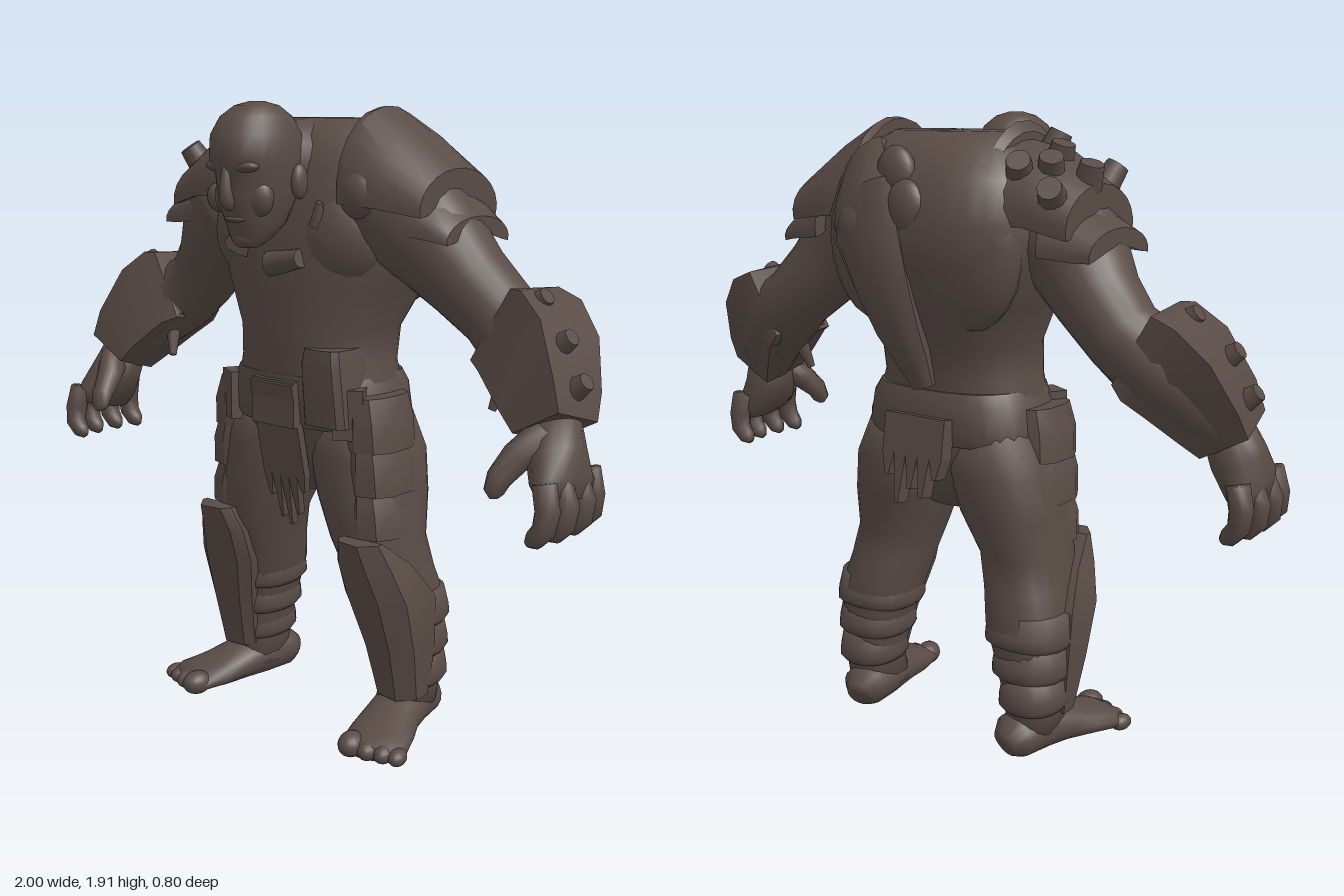
import * as THREE from 'three';
import { mergeVertices, toCreasedNormals } from 'three/addons/utils/BufferGeometryUtils.js';

const hide = new THREE.MeshStandardMaterial({ color: 0x594b45, side: THREE.DoubleSide });
hide.name = 'dark umber';
const V = (x, y, z) => new THREE.Vector3(x, y, z);

// Skin a list of closed rings, with capped ends
function loft(rings, crease) {
  const n = rings[0].length, pos = [], idx = [];
  rings.forEach(r => r.forEach(p => pos.push(p.x, p.y, p.z)));
  for (let i = 0; i < rings.length - 1; i++) for (let j = 0; j < n; j++) {
    const a = i * n + j, b = i * n + (j + 1) % n;
    idx.push(a, b, b + n, a, b + n, a + n);
  }
  [0, rings.length - 1].forEach((k, end) => {
    const c = rings[k].reduce((s, p) => s.add(p), V(0, 0, 0)).divideScalar(n);
    const m = pos.length / 3;
    pos.push(c.x, c.y, c.z);
    for (let j = 0; j < n; j++) {
      const a = k * n + j, b = k * n + (j + 1) % n;
      if (end) idx.push(m, a, b); else idx.push(m, b, a);
    }
  });
  const g = new THREE.BufferGeometry();
  g.setAttribute('position', new THREE.Float32BufferAttribute(pos, 3));
  g.setIndex(idx);
  g.computeVertexNormals();
  return crease ? toCreasedNormals(g, crease) : g;
}

// Horizontal sections, bottom to top: [y, centreX, halfWidth, zFront, zBack]
function stack(rows, n = 24, power = 0.85, crease = 0) {
  return loft(rows.map(([y, cx, w, zf, zb]) => Array.from({ length: n }, (_, j) => {
    const a = j / n * Math.PI * 2, s = Math.sin(a), c = Math.cos(a);
    const sx = Math.sign(s) * Math.abs(s) ** power, cz = Math.sign(c) * Math.abs(c) ** power;
    return V(cx + w * sx, y, (zf + zb) / 2 + (zf - zb) / 2 * cz);
  })), crease);
}

// Sections square to a path: [x, y, z, radiusAcross, radiusAlongRef]
function limb(rows, n = 16, ref = V(0, 0, 1), crease = 0) {
  const p = rows.map(r => V(r[0], r[1], r[2]));
  return loft(rows.map((r, i) => {
    const t = p[Math.min(i + 1, p.length - 1)].clone().sub(p[Math.max(i - 1, 0)]).normalize();
    const u = t.clone().cross(ref).normalize(), v = t.clone().cross(u);
    return Array.from({ length: n }, (_, j) => {
      const a = (j + 0.5) / n * Math.PI * 2;
      return p[i].clone().addScaledVector(u, r[3] * Math.cos(a)).addScaledVector(v, r[4] * Math.sin(a));
    });
  }), crease);
}

// Arched shell running outward along x: [x, centreY, centreZ, ry, rz]
function arch(rows, thick = 0.03, n = 14) {
  return loft(rows.map(([x, y, z, ry, rz]) => {
    const arc = d => Array.from({ length: n }, (_, j) => {
      const a = (-0.04 + 1.1 * j / (n - 1)) * Math.PI;
      return V(x, y + (ry - d) * Math.sin(a), z + (rz - d) * Math.cos(a));
    });
    return [...arc(0), ...arc(thick).reverse()].reverse();
  }), 0.6);
}

function ball(x, y, z, rx, ry, rz) {
  return new THREE.SphereGeometry(1, 16, 12).scale(rx, ry, rz).translate(x, y, z);
}

// Blunt stud or spike standing on a point along a direction
function stud(at, dir, r = 0.036, h = 0.06, top = 0.7) {
  const g = new THREE.CylinderGeometry(r * top, r, h, 10);
  g.applyQuaternion(new THREE.Quaternion().setFromUnitVectors(V(0, 1, 0), V(...dir).normalize()));
  return g.translate(...at);
}

// Ragged hanging cloth in the xy plane, hung from y = 0
function cloth(halfW, length, depth, drops) {
  const s = new THREE.Shape();
  s.moveTo(-halfW, 0);
  const step = 2 * halfW / drops.length;
  drops.forEach((d, i) => {
    const x = -halfW + i * step;
    s.lineTo(x, -length);
    s.lineTo(x + step * 0.35, -length - d);
    s.lineTo(x + step * 0.65, -length - d);
  });
  s.lineTo(halfW, -length);
  s.lineTo(halfW, 0);
  return new THREE.ExtrudeGeometry(s, { depth, bevelEnabled: false });
}

function mirror(geo) {
  const g = geo.index ? geo.clone() : mergeVertices(geo);
  g.applyMatrix4(new THREE.Matrix4().makeScale(-1, 1, 1));
  const a = g.index.array;
  for (let i = 0; i < a.length; i += 3) [a[i], a[i + 1]] = [a[i + 1], a[i]];
  return g;
}

export function createModel() {
  const model = new THREE.Group();
  model.name = 'brute';
  const add = (name, geo) => {
    const m = new THREE.Mesh(geo, hide);
    m.name = name;
    model.add(m);
  };
  const pair = (name, geo) => { add(name + 'Left', geo); add(name + 'Right', mirror(geo)); };

  // Hunched torso, chest and neck
  add('torso', stack([[0.74, 0, 0.1, 0.05, -0.12], [0.84, 0, 0.2, 0.125, -0.19], [0.95, 0, 0.28, 0.15, -0.215],
    [1.05, 0, 0.28, 0.17, -0.215], [1.15, 0, 0.247, 0.18, -0.215], [1.25, 0, 0.245, 0.187, -0.24], [1.38, 0, 0.31, 0.192, -0.3],
    [1.5, 0, 0.36, 0.195, -0.345], [1.62, 0, 0.38, 0.182, -0.36], [1.74, 0, 0.34, 0.16, -0.33],
    [1.82, 0, 0.27, 0.12, -0.27], [1.865, 0, 0.19, 0.05, -0.18]], 32));
  pair('chestMuscle', ball(0.15, 1.53, 0.075, 0.17, 0.16, 0.11));
  pair('shoulderBlade', ball(0.17, 1.56, -0.215, 0.17, 0.25, 0.09));
  add('neck', limb([[0, 1.7, -0.12, 0.17, 0.17], [0, 1.72, 0.02, 0.15, 0.15], [0, 1.73, 0.12, 0.115, 0.13],
    [0, 1.73, 0.22, 0.1, 0.12]], 20, V(0, 1, 0)));

  // Head thrust forward
  add('head', stack([[1.505, 0, 0.03, 0.315, 0.26], [1.53, 0, 0.058, 0.335, 0.22], [1.57, 0, 0.08, 0.345, 0.17],
    [1.61, 0, 0.094, 0.362, 0.15], [1.66, 0, 0.107, 0.372, 0.12], [1.71, 0, 0.113, 0.375, 0.11],
    [1.755, 0, 0.118, 0.4, 0.11], [1.82, 0, 0.113, 0.397, 0.11], [1.87, 0, 0.09, 0.365, 0.14],
    [1.9, 0, 0.055, 0.32, 0.18], [1.912, 0, 0.02, 0.27, 0.23]], 24, 0.95));
  add('nose', limb([[0, 1.735, 0.375, 0.01, 0.014], [0, 1.67, 0.378, 0.018, 0.02], [0, 1.638, 0.374, 0.024, 0.022],
    [0, 1.622, 0.358, 0.016, 0.015]], 10));
  pair('brow', ball(0.048, 1.735, 0.352, 0.05, 0.018, 0.028));
  pair('cheek', ball(0.055, 1.65, 0.305, 0.05, 0.06, 0.04));
  pair('ear', ball(0.116, 1.69, 0.2, 0.02, 0.05, 0.03));
  add('lips', ball(0, 1.588, 0.342, 0.038, 0.01, 0.018));
  add('chin', ball(0, 1.535, 0.308, 0.042, 0.032, 0.03));

  // Collar shards
  add('collarShardRight', stud([-0.13, 1.52, 0.175], [0.6, 1, 0], 0.05, 0.08, 0.7));
  add('collarShardLeft', stud([0.05, 1.46, 0.185], [1, 0.2, 0.1], 0.04, 0.13, 0.7));
  pair('collarTooth', stud([0.16, 1.6, 0.17], [0.3, 1, 0.2], 0.025, 0.07, 0.4));

  // Arms, hands and bracers
  pair('arm', limb([[0.24, 1.65, -0.03, 0.16, 0.18], [0.33, 1.6, -0.03, 0.175, 0.175], [0.42, 1.52, -0.045, 0.15, 0.15],
    [0.51, 1.415, -0.08, 0.122, 0.128], [0.6, 1.33, -0.1, 0.11, 0.118], [0.7, 1.255, -0.085, 0.122, 0.125],
    [0.81, 1.15, -0.02, 0.1, 0.105], [0.87, 1.06, 0.02, 0.075, 0.075]], 20));
  pair('bracer', limb([[0.665, 1.315, -0.09, 0.16, 0.15], [0.7, 1.295, -0.085, 0.183, 0.165], [0.765, 1.24, -0.05, 0.178, 0.162],
    [0.84, 1.13, 0.005, 0.14, 0.142], [0.875, 1.065, 0.03, 0.112, 0.118]], 4, V(0, 0, 1), 0.5));
  [[0.77, 1.385, -0.04], [0.875, 1.29, 0], [0.93, 1.18, 0.01]].forEach(p => pair('bracerStud', stud(p, [1, 0.75, 0.05], 0.036, 0.06)));
  pair('bracerBuckle', stud([0.665, 1.13, -0.02], [-0.25, -1, 0.3], 0.03, 0.12, 0.4));
  pair('palm', limb([[0.865, 1.08, 0.02, 0.073, 0.073], [0.89, 1, 0.045, 0.08, 0.09], [0.922, 0.93, 0.06, 0.065, 0.12],
    [0.938, 0.885, 0.07, 0.04, 0.11]], 16));
  [[0.17, -0.005], [0.1, 0.008], [0.02, 0.008], [-0.05, -0.008]].forEach(([z, dx]) => pair('finger', limb([
    [0.935, 0.95, z, 0.034, 0.036], [0.958 + dx, 0.88, z * 1.05, 0.034, 0.036], [0.953 + dx, 0.83, z * 1.1, 0.032, 0.033],
    [0.925 + dx, 0.8, z * 1.1, 0.027, 0.028], [0.907 + dx, 0.788, z * 1.1, 0.013, 0.013]], 10)));
  pair('thumb', limb([[0.87, 1.05, 0.07, 0.05, 0.05], [0.825, 0.995, 0.135, 0.043, 0.043], [0.805, 0.945, 0.185, 0.035, 0.035],
    [0.8, 0.91, 0.2, 0.028, 0.028], [0.802, 0.893, 0.202, 0.012, 0.012]], 10));

  // Left shoulder: tall smooth plate over a smaller one
  add('pauldronLeft', arch([[0.225, 1.66, -0.035, 0.235, 0.205], [0.25, 1.66, -0.04, 0.24, 0.215],
    [0.36, 1.645, -0.05, 0.185, 0.21], [0.485, 1.615, -0.06, 0.115, 0.185]]));
  add('underPlateLeft', arch([[0.4, 1.57, -0.06, 0.14, 0.18], [0.5, 1.55, -0.065, 0.095, 0.165], [0.545, 1.535, -0.07, 0.065, 0.15]]));
  add('shoulderBossLeft', ball(0.28, 1.66, 0.125, 0.07, 0.075, 0.055));

  // Right shoulder: collar ridge and studded plate
  add('pauldronRidge', mirror(arch([[0.2, 1.65, -0.03, 0.215, 0.2], [0.225, 1.655, -0.035, 0.24, 0.22], [0.25, 1.65, -0.04, 0.215, 0.21]])));
  add('pauldronRight', mirror(arch([[0.24, 1.655, -0.045, 0.19, 0.205], [0.36, 1.65, -0.05, 0.17, 0.205], [0.495, 1.61, -0.06, 0.12, 0.18]])));
  add('underPlateRight', mirror(arch([[0.4, 1.565, -0.06, 0.14, 0.18], [0.5, 1.55, -0.06, 0.1, 0.17], [0.56, 1.545, -0.065, 0.07, 0.16]])));
  [[0.3, 0.3], [0.32, -0.8], [0.37, -0.1], [0.39, -0.5], [0.46, 0.5], [0.47, -0.15], [0.44, -1]].forEach(([x, a]) => {
    const drop = (x - 0.3) * 0.5, dir = [-0.35, Math.cos(a), Math.sin(a)];
    add('pauldronStud', stud([-x, 1.64 + (0.2 - drop) * Math.cos(a), -0.05 + 0.21 * Math.sin(a)], dir, 0.043, 0.07, 0.8));
  });
  add('shoulderBossRight', ball(-0.265, 1.63, 0.13, 0.045, 0.05, 0.05));

  // Layered hide strip down the back
  add('backStrap', limb([[0.2, 1.79, -0.23, 0.09, 0.035], [0.12, 1.69, -0.33, 0.12, 0.05], [0.09, 1.57, -0.35, 0.12, 0.05],
    [0.06, 1.43, -0.32, 0.1, 0.06], [0.04, 1.31, -0.28, 0.08, 0.058], [0.02, 1.22, -0.245, 0.06, 0.045],
    [0, 1.13, -0.22, 0.04, 0.025]], 12, V(0, 0, 1), 0.6));
  [[0.02, 1.75, -0.31], [-0.03, 1.66, -0.33], [0.13, 1.6, -0.355]].forEach(p =>
    add('backKnob', ball(...p, 0.065, 0.08, 0.04)));

  // Belt, loincloth and hip armour
  add('belt', stack([[0.96, 0, 0.29, 0.155, -0.225], [0.98, 0, 0.295, 0.168, -0.235], [1.08, 0, 0.275, 0.178, -0.235],
    [1.12, 0, 0.252, 0.178, -0.222]], 28, 0.75, 0.6));
  add('beltPlate', new THREE.BoxGeometry(0.17, 0.14, 0.04).translate(0, 1.035, 0.175));
  add('frontCloth', cloth(0.085, 0.3, 0.025, [0.08, 0.15, 0.17, 0.13, 0.05]).rotateX(0.2).translate(0, 1.1, 0.18));
  add('backCloth', cloth(0.11, 0.12, 0.05, [0.06, 0.12, 0.1, 0.15, 0.07]).rotateX(0.15).translate(0, 1.05, -0.265));
  pair('hipCorner', new THREE.BoxGeometry(0.09, 0.15, 0.09).rotateY(0.5).translate(0.225, 1.02, 0.1));
  add('flankPlate', stack([[0.98, 0.17, 0.085, 0.175, 0.02], [1.16, 0.165, 0.08, 0.19, 0.02], [1.21, 0.165, 0.07, 0.185, 0.02]], 12, 0.5, 0.5));
  [[0.92, 0.265, 0.15], [0.79, 0.275, 0.15], [0.66, 0.28, 0.13]].forEach(([y, x, h]) => pair('thighPlate',
    stack([[y - 0.01, x, 0.088, 0.13, -0.1], [y + h * 0.5, x, 0.082, 0.135, -0.1], [y + h, x - 0.01, 0.068, 0.125, -0.09]], 10, 0.75, 0.5)));

  // Legs with bound wraps
  pair('leg', stack([[0.06, 0.31, 0.08, 0.04, -0.18], [0.15, 0.32, 0.08, 0.02, -0.185], [0.3, 0.305, 0.105, 0.04, -0.2],
    [0.42, 0.287, 0.125, 0.07, -0.21], [0.52, 0.263, 0.125, 0.1, -0.185], [0.62, 0.24, 0.132, 0.13, -0.168],
    [0.75, 0.205, 0.153, 0.14, -0.208], [0.88, 0.178, 0.163, 0.14, -0.222], [1, 0.155, 0.135, 0.13, -0.2]], 24));
  for (let i = 0; i < 3; i++) {
    const y = 0.15 + i * 0.1, c = 0.32 - i * 0.012, w = 0.085 + i * 0.017, f = 0.02 + i * 0.018;
    pair('legWrap', stack([[y, c, w + 0.002, f, -0.192], [y + 0.02, c, w + 0.013, f + 0.01, -0.21 - i * 0.004],
      [y + 0.05, c, w + 0.012, f + 0.01, -0.208 - i * 0.003], [y + 0.11, c, w + 0.004, f + 0.005, -0.195]], 20));
  }

  // Shin guards with faceted sides
  const guard = [[0.13, 0.337, 0.07, 0.045, -0.06], [0.3, 0.333, 0.092, 0.085, -0.07], [0.46, 0.315, 0.115, 0.13, -0.06],
    [0.57, 0.298, 0.1, 0.165, 0.02], [0.65, 0.297, 0.07, 0.19, 0.12]];
  pair('shinGuard', loft(guard.map(([y, x, w, f, b]) => [V(x - w, y, b), V(x - w, y, f - 0.04), V(x - w * 0.7, y, f - 0.01),
    V(x + w * 0.4, y, f), V(x + w, y, f - 0.05), V(x + w, y, b)]), 0.4));

  // Bare splayed feet
  pair('foot', limb([[0.288, 0.055, -0.205, 0.045, 0.045], [0.298, 0.07, -0.17, 0.075, 0.068], [0.315, 0.075, -0.06, 0.085, 0.073],
    [0.335, 0.065, 0.02, 0.087, 0.063], [0.36, 0.05, 0.1, 0.1, 0.048], [0.388, 0.04, 0.175, 0.103, 0.038],
    [0.4, 0.033, 0.21, 0.085, 0.027]], 18, V(0, 1, 0)));
  [[-0.07, 0.04, 0.05], [-0.015, 0.032, 0.045], [0.035, 0.03, 0.042], [0.078, 0.027, 0.038]].forEach(([s, r, l]) =>
    pair('toe', ball(0, 0, 0, r, r * 0.95, l).rotateY(0.26).translate(0.4 + s * 0.96, r + 0.004, 0.195 - s * 0.28)));

  return model;
}
